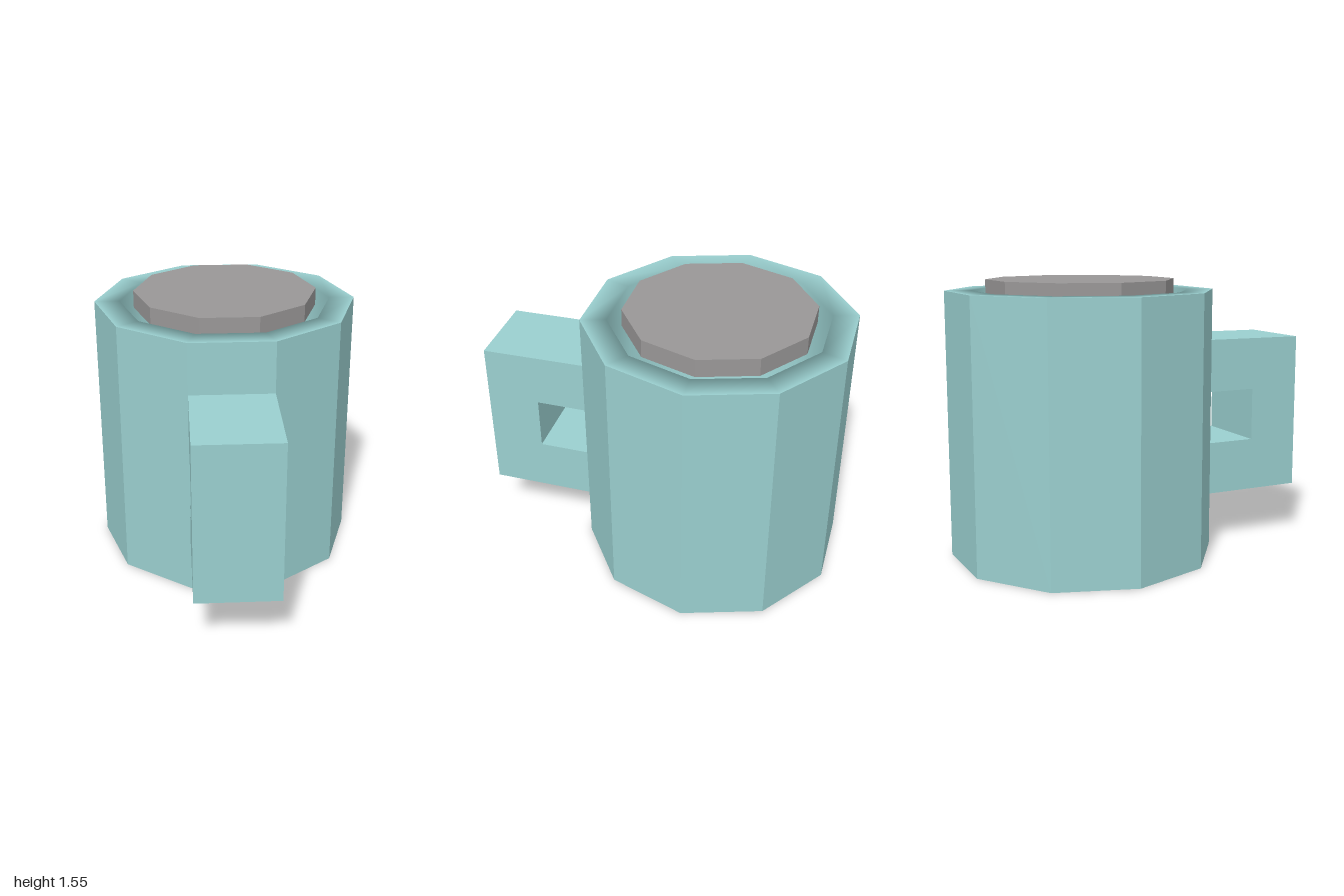
import * as THREE from 'three';
import { mergeVertices } from 'three/addons/utils/BufferGeometryUtils.js';

const SIDES = 10, CENTER_Z = -0.29;
const R_OUT = 0.745, R_IN = 0.602, TOP = 1.49, FLOOR = 0.15;

const points = (list) => list.map(([x, y]) => new THREE.Vector2(x, y));

// Ten-sided lathe with corners on the x axis
const lathe = (list) => new THREE.LatheGeometry(points(list), SIDES, Math.PI / 2);

export function createModel() {
  const model = new THREE.Group();
  const faceted = new THREE.MeshStandardMaterial({ color: 0x9acfcf, flatShading: true });
  const smooth = new THREE.MeshStandardMaterial({ color: 0x9acfcf });
  const grey = new THREE.MeshStandardMaterial({ color: 0x999797, flatShading: true });

  const add = (name, geometry, material, y = 0, z = 0) => {
    const mesh = new THREE.Mesh(geometry, material);
    mesh.name = name;
    mesh.position.set(0, y, z);
    model.add(mesh);
  };

  // Faceted outer wall and base
  add('cupOuterWall', lathe([[0, 0], [R_OUT, 0], [R_OUT, TOP]]), faceted, 0, CENTER_Z);

  // Flat rim and hollow, with normals blended across the inner edge
  let hollow = lathe([[R_OUT, TOP], [R_IN, TOP], [R_IN, FLOOR], [0, FLOOR]]);
  hollow.deleteAttribute('uv');
  hollow.deleteAttribute('normal');
  hollow = mergeVertices(hollow, 1e-4);
  hollow.computeVertexNormals();
  add('rimAndHollow', hollow, smooth, 0, CENTER_Z);

  // Disc standing slightly proud of the rim
  add('drinkSurface',
    new THREE.CylinderGeometry(0.522, 0.522, 0.1, SIDES, 1, false, Math.PI / 2),
    grey, 1.5, CENTER_Z);

  // Square C-shaped handle on the front facet
  const wallZ = CENTER_Z + R_OUT * Math.cos(Math.PI / SIDES);
  const profile = new THREE.Shape(points([
    [wallZ, 0.3], [1, 0.3], [1, 1.195], [wallZ, 1.2],
    [wallZ, 0.9], [0.7, 0.9], [0.7, 0.6], [wallZ, 0.6],
  ]));
  const handle = new THREE.ExtrudeGeometry(profile, { depth: 0.46, bevelEnabled: false });
  handle.rotateY(-Math.PI / 2).translate(0.23, 0, 0);
  add('handle', handle, faceted);

  return model;
}
